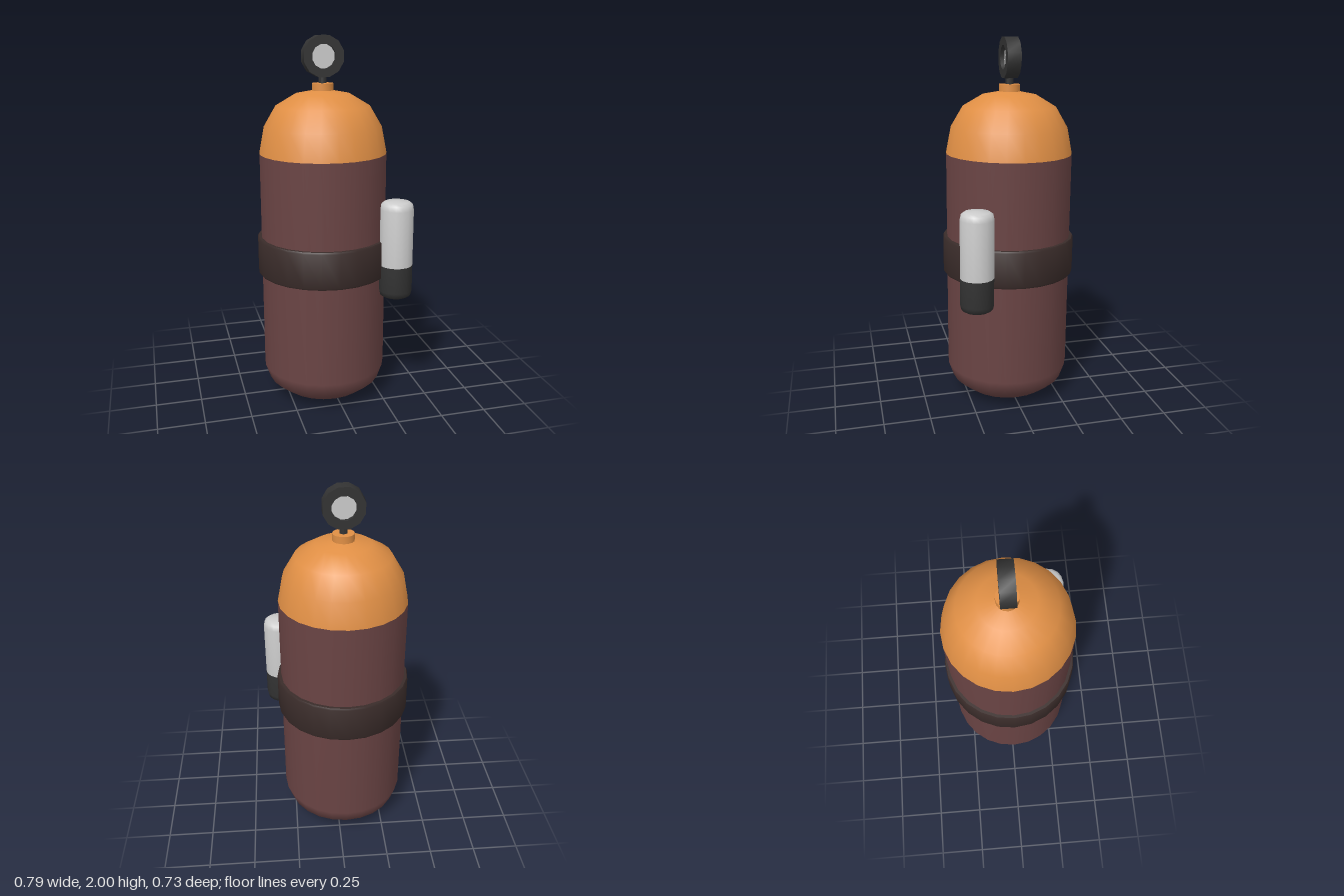
import * as THREE from 'three';
import { toCreasedNormals } from 'three/addons/utils/BufferGeometryUtils.js';

const paint = (color) => new THREE.MeshStandardMaterial({ color });

// Turned part from [radius, height] points listed bottom to top
function turned(name, points, sides, material, crease = 0.6) {
  const lathe = new THREE.LatheGeometry(points.map(([r, y]) => new THREE.Vector2(r, y)), sides);
  const mesh = new THREE.Mesh(crease ? toCreasedNormals(lathe, crease) : lathe, material);
  mesh.name = name;
  return mesh;
}

export function createModel() {
  const model = new THREE.Group();
  model.name = 'gasTank';
  const maroon = paint(0x6a4444), orange = paint(0xe08f45), strapBrown = paint(0x3a2c2a);
  const black = paint(0x333333), grey = paint(0xcccccc);

  // Whole assembly leans back very slightly around the strap height
  const lean = new THREE.Group();
  lean.name = 'leaningAssembly';
  lean.position.y = 0.83;
  lean.rotation.x = -0.011;
  model.add(lean);
  const parts = new THREE.Group();
  parts.name = 'parts';
  parts.position.y = -0.83;
  lean.add(parts);

  // Tank: rounded base, straight wall, domed shoulder, neck
  const tank = new THREE.Group();
  tank.name = 'tank';
  tank.position.x = -0.036;
  parts.add(tank);
  tank.add(turned('tankBody', [
    [0, 0.002], [0.12, 0.006], [0.24, 0.04], [0.315, 0.1], [0.342, 0.178], [0.342, 1.388],
  ], 24, maroon, 0));
  tank.add(turned('tankDome', [
    [0.342, 1.388], [0.315, 1.527], [0.25, 1.638], [0.145, 1.7], [0, 1.727],
  ], 24, orange, 0));
  tank.add(turned('neck', [[0.057, 1.7], [0.057, 1.754], [0, 1.754]], 16, orange));
  tank.add(turned('strap', [
    [0.338, 0.728], [0.358, 0.728], [0.363, 0.738], [0.363, 0.922], [0.358, 0.932], [0.338, 0.932],
  ], 24, strapBrown));
  tank.add(turned('valveStem', [[0.021, 1.74], [0.021, 1.81]], 10, black));

  // Gauge: thick ring lying on the z axis with a recessed disc
  const gauge = new THREE.Group();
  gauge.name = 'gauge';
  gauge.position.set(0, 1.892, 0);
  gauge.rotation.x = Math.PI / 2;
  const rim = turned('gaugeRim', [
    [0.064, -0.037], [0.11, -0.037], [0.11, 0.037], [0.064, 0.037], [0.064, -0.037],
  ], 12, black);
  rim.rotation.y = Math.PI / 12;
  const disc = new THREE.Mesh(new THREE.CylinderGeometry(0.066, 0.066, 0.03, 12), grey);
  disc.name = 'gaugeDisc';
  disc.rotation.y = Math.PI / 12;
  gauge.add(rim, disc);
  tank.add(gauge);

  // Small canister strapped to the front left
  const canister = new THREE.Group();
  canister.name = 'canister';
  canister.position.set(0.305, 0, 0.245);
  canister.add(turned('canisterBase', [
    [0, 0.625], [0.068, 0.625], [0.083, 0.634], [0.089, 0.66], [0.089, 0.803],
  ], 16, black, 0.9));
  canister.add(turned('canisterTop', [
    [0.089, 0.803], [0.089, 1.11], [0.083, 1.138], [0.066, 1.15], [0, 1.155],
  ], 16, grey, 0.9));
  parts.add(canister);

  return model;
}
